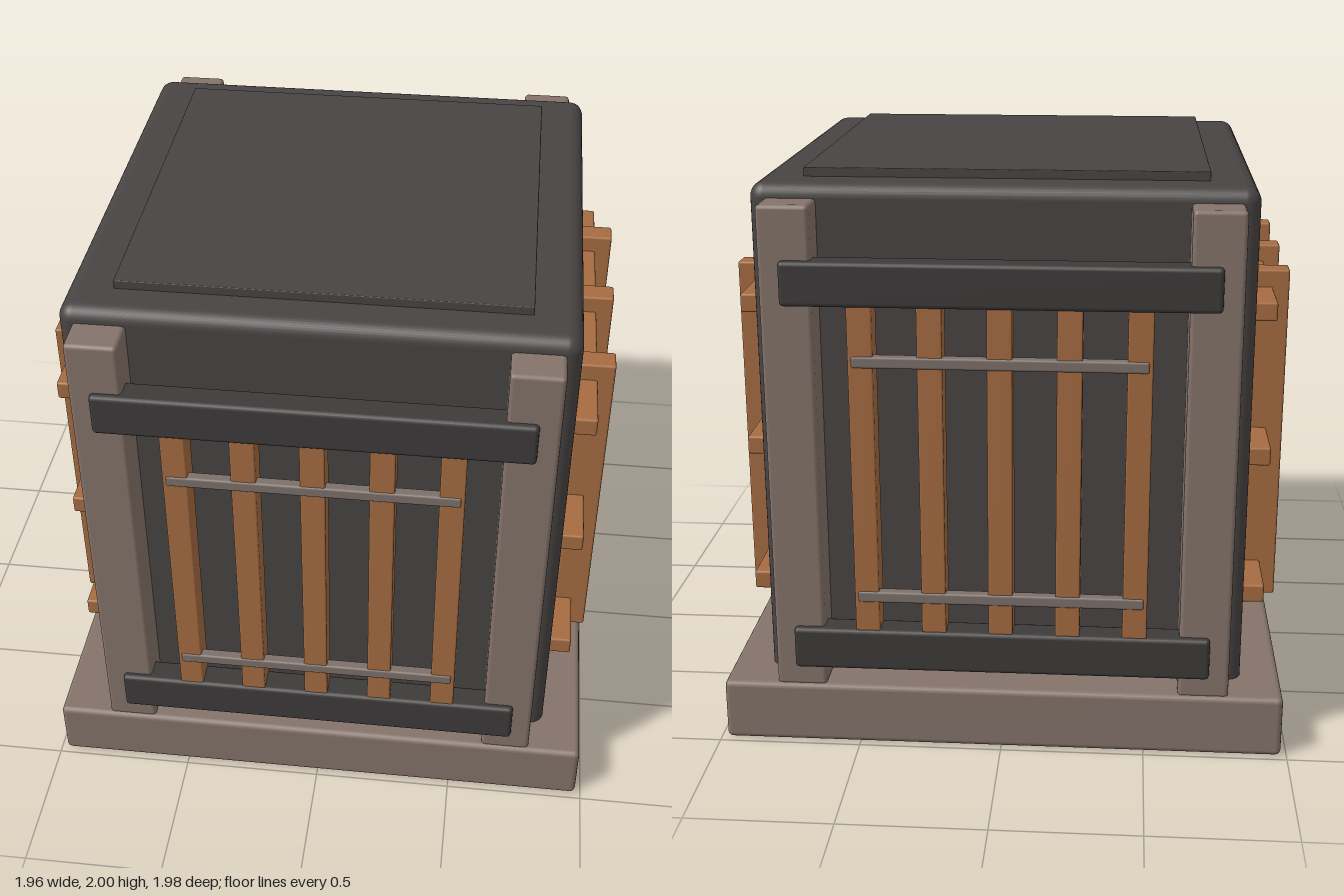
import * as THREE from 'three';
import { RoundedBoxGeometry } from 'three/addons/geometries/RoundedBoxGeometry.js';

function material(name, color) {
  const m = new THREE.MeshStandardMaterial({ color });
  m.name = name;
  return m;
}

export function createModel() {
  const stone = material('taupe frame', 0x85736a);
  const dark = material('charcoal body', 0x484443);
  const rail = material('dark rail', 0x3d3b3a);
  const wood = material('orange wood', 0xa66c41);
  const metal = material('grey strip', 0x7d706a);

  const model = new THREE.Group();
  model.name = 'latticedCrate';

  // Softly bevelled box given by its min/max extents
  function block(parent, name, mat, [x0, x1], [y0, y1], [z0, z1], r = 0.01, seg = 2) {
    const geo = new RoundedBoxGeometry(x1 - x0, y1 - y0, z1 - z0, seg, r);
    const mesh = new THREE.Mesh(geo, mat);
    mesh.name = name;
    mesh.position.set((x0 + x1) / 2, (y0 + y1) / 2, (z0 + z1) / 2);
    parent.add(mesh);
  }

  // Base, body and raised lid panel
  block(model, 'base', stone, [-0.98, 0.98], [0, 0.22], [-0.98, 0.98], 0.02);
  block(model, 'body', dark, [-0.84, 0.84], [0.01, 1.97], [-0.84, 0.84], 0.05, 4);
  block(model, 'lidPanel', dark, [-0.68, 0.68], [1.95, 2], [-0.7, 0.7], 0.003, 1);

  // Barred grille with posts, on front and back
  for (const turn of [0, Math.PI]) {
    const grille = new THREE.Group();
    grille.name = turn ? 'backGrille' : 'frontGrille';
    grille.rotation.y = turn;
    model.add(grille);
    block(grille, 'leftPost', stone, [0.615, 0.79], [0.21, 1.92], [0.79, 0.965], 0.015);
    block(grille, 'rightPost', stone, [-0.79, -0.615], [0.21, 1.92], [0.79, 0.965], 0.015);
    block(grille, 'lowerRail', rail, [-0.72, 0.72], [0.29, 0.44], [0.89, 0.99], 0.015);
    block(grille, 'upperRail', rail, [-0.72, 0.72], [1.59, 1.74], [0.89, 0.99], 0.015);
    for (let i = -2; i <= 2; i++) {
      const x = i * 0.23;
      block(grille, 'bar', wood, [x - 0.042, x + 0.042], [0.42, 1.61], [0.885, 0.98], 0.006);
    }
    for (const y of [0.565, 1.405])
      block(grille, 'crossStrip', metal, [-0.49, 0.49], [y - 0.02, y + 0.02], [0.945, 0.985], 0.008);
  }

  // Wooden lattice on both sides
  for (const turn of [0, Math.PI]) {
    const lattice = new THREE.Group();
    lattice.name = turn ? 'rightLattice' : 'leftLattice';
    lattice.rotation.y = turn;
    model.add(lattice);
    for (const z of [-0.42, 0, 0.42])
      block(lattice, 'upright', wood, [0.86, 0.98], [0.385, 1.62], [z - 0.043, z + 0.043], 0.008);
    for (const y of [0.485, 1.005, 1.525])
      block(lattice, 'slat', wood, [0.835, 0.922], [y - 0.033, y + 0.033], [-0.69, 0.69], 0.008);
  }
  return model;
}
